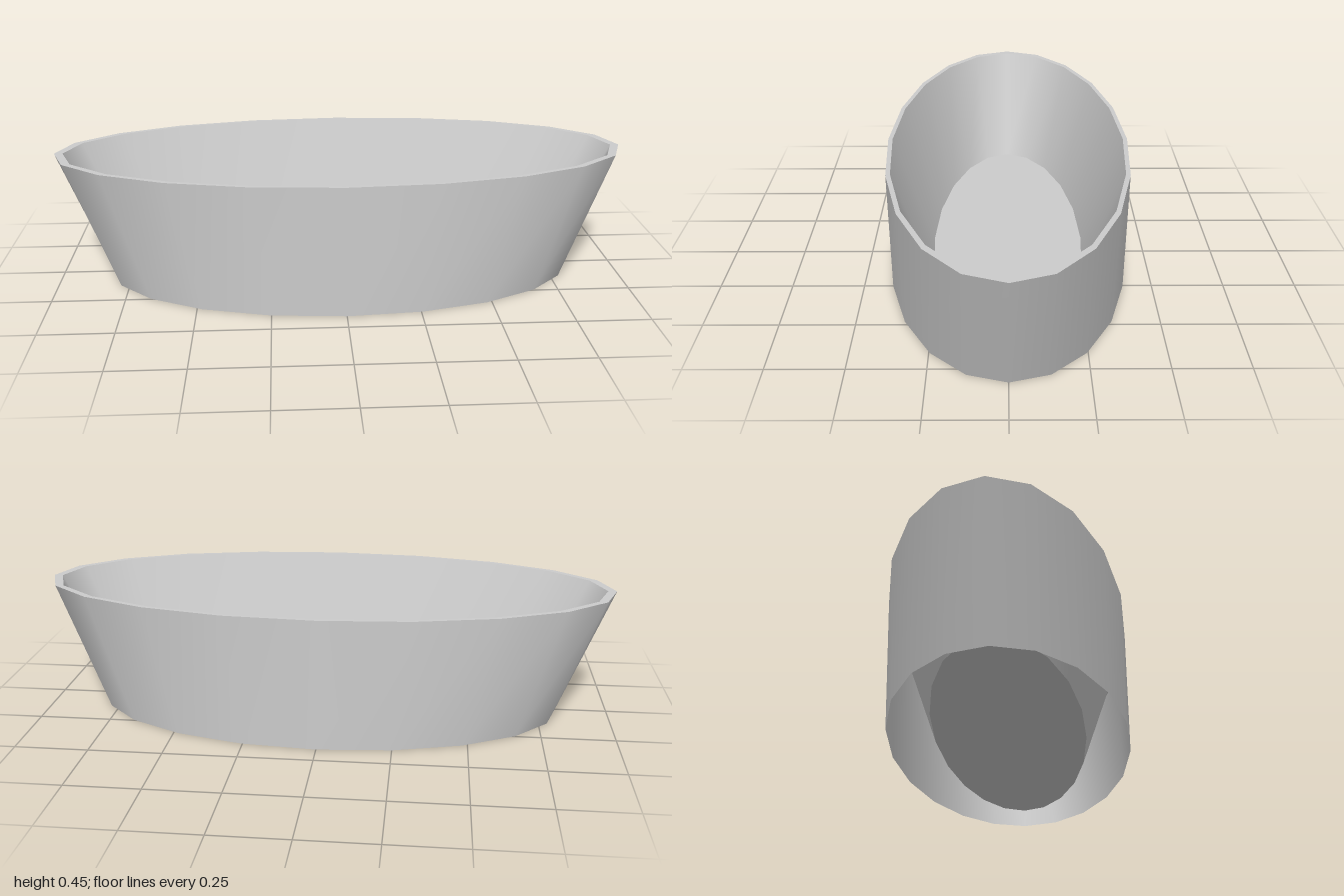
import * as THREE from 'three';

const SIDES = 20;

// Smooth band between two elliptical rings given as [halfWidth, halfDepth, y].
// Its front faces outward when ring a is below ring b.
function band(a, b) {
  const positions = [], indices = [];
  for (let i = 0; i < SIDES; i++) {
    const t = (i / SIDES) * Math.PI * 2;
    for (const [rx, rz, y] of [a, b]) positions.push(rx * Math.cos(t), y, rz * Math.sin(t));
    const p = 2 * i, q = 2 * ((i + 1) % SIDES);
    indices.push(p, p + 1, q, q, p + 1, q + 1);
  }
  const geometry = new THREE.BufferGeometry();
  geometry.setAttribute('position', new THREE.Float32BufferAttribute(positions, 3));
  geometry.setIndex(indices);
  geometry.computeVertexNormals();
  return geometry;
}

export function createModel() {
  const model = new THREE.Group();
  model.name = 'ovalTub';
  const material = new THREE.MeshStandardMaterial({ color: 0xcccccc, side: THREE.DoubleSide });

  const add = (name, geometry) => {
    const mesh = new THREE.Mesh(geometry, material);
    mesh.name = name;
    model.add(mesh);
    return mesh;
  };

  const foot = [0.82, 0.42, 0];
  const outerRim = [1, 0.42, 0.45];
  const innerRim = [0.97, 0.405, 0.45];
  const floorEdge = [0.78, 0.268, 0.055];

  // Outer skirt, flaring only along its length and open underneath
  add('outerWall', band(foot, outerRim));

  // Narrow flat lip
  add('rim', band(outerRim, innerRim));

  // Sloping basin inside the skirt
  add('innerWall', band(innerRim, floorEdge));

  // Raised oval floor
  const floor = new THREE.CircleGeometry(1, SIDES);
  floor.rotateX(-Math.PI / 2);
  floor.scale(floorEdge[0], 1, floorEdge[1]);
  add('floor', floor).position.y = floorEdge[2];

  return model;
}
